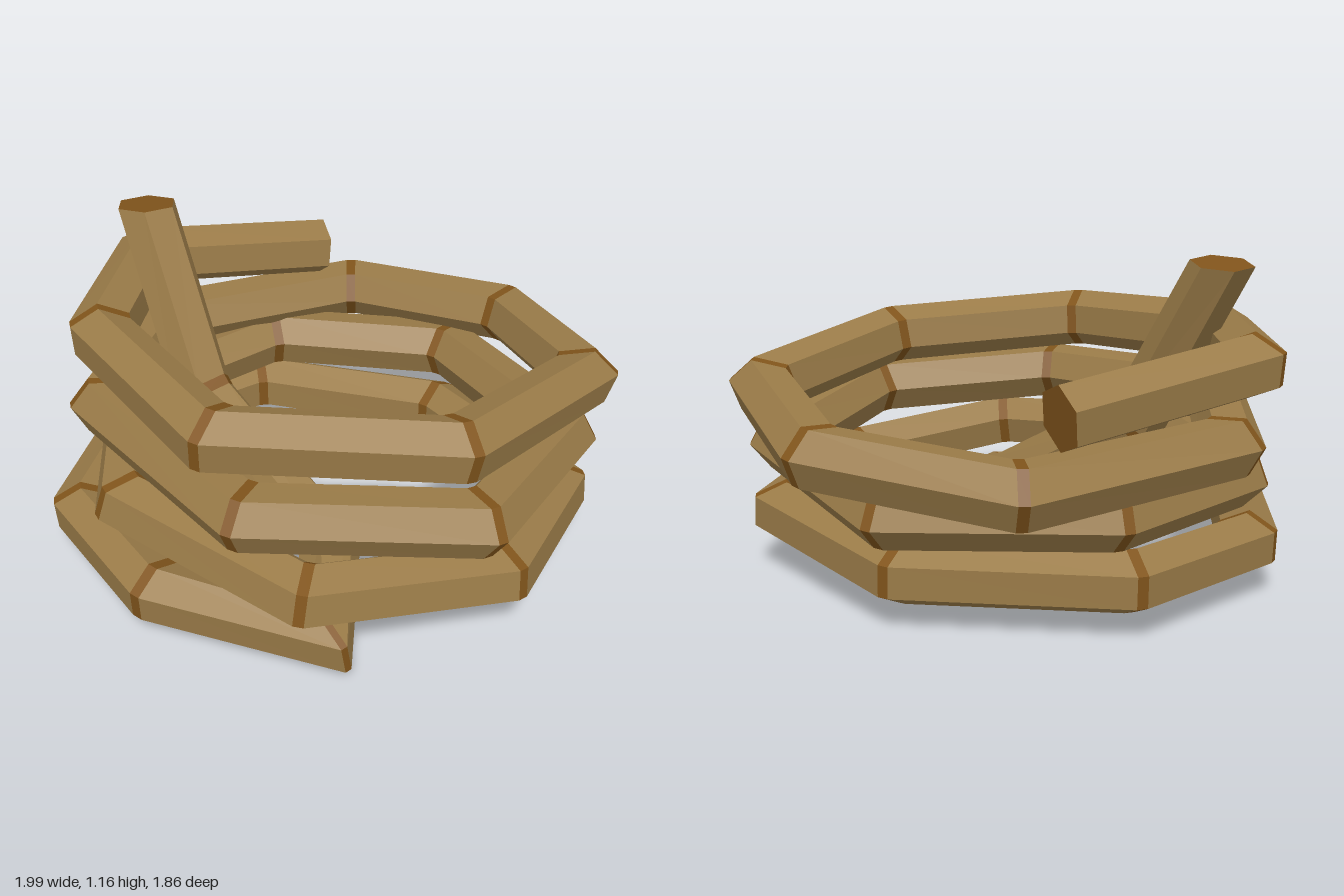
import * as THREE from 'three';

const SIDES = 6, RADIUS = 0.109, END_TWIST = -0.4, BAND = 0.02;

// Centre line of the rope, from the raised loose end, down and round the coils
const PATH = [
  // raised end and run to the ground
  [-0.59, 1.145, -0.4], [-0.43, 0.55, -0.06], [-0.03, 0.2, 0.41], [-0.08, 0.11, 0.78],
  // first coil
  [-0.64, 0.145, 0.51], [-0.895, 0.175, 0.08], [-0.71, 0.18, -0.44], [-0.19, 0.18, -0.69],
  [0.51, 0.18, -0.42], [0.83, 0.22, 0.22], [0.5, 0.28, 0.71],
  // second coil
  [-0.16, 0.35, 0.82], [-0.715, 0.39, 0.33], [-0.69, 0.395, -0.36], [-0.13, 0.4, -0.69],
  [0.56, 0.405, -0.5], [0.82, 0.475, 0.24], [0.4, 0.545, 0.77],
  // third coil
  [-0.34, 0.585, 0.7], [-0.78, 0.605, 0.05], [-0.57, 0.565, -0.57], [0.21, 0.535, -0.82],
  [0.77, 0.59, -0.43], [0.885, 0.685, 0.2], [0.34, 0.77, 0.68],
  // top coil and its end
  [-0.42, 0.82, 0.6], [-0.77, 0.845, -0.02], [-0.62, 0.84, -0.6], [0.08, 0.75, -0.78],
].map(p => new THREE.Vector3(...p));

const LAST = PATH.length - 1;

// Unit direction of each straight piece
const DIRS = PATH.slice(1).map((p, i) => p.clone().sub(PATH[i]).normalize());

// Hexagonal section at every node, its corners carried along without twisting
function ropeSections() {
  const tangents = PATH.map((_, i) =>
    DIRS[Math.max(i - 1, 0)].clone().add(DIRS[Math.min(i, LAST - 1)]).normalize());
  tangents[0].set(0, -1, 0.15).normalize(); // raised end is cut almost level

  const reference = new THREE.Vector3(0, 1, 0).cross(tangents[LAST]).negate().normalize()
    .applyAxisAngle(tangents[LAST], -END_TWIST);
  const turn = new THREE.Quaternion();
  const rings = [];
  for (let i = LAST; i >= 0; i--) {
    if (i < LAST) reference.applyQuaternion(turn.setFromUnitVectors(tangents[i + 1], tangents[i]));
    const across = reference.clone().cross(tangents[i]);
    const atBend = i > 0 && i < LAST;
    // widen the section in the plane of the bend
    const bend = atBend ? DIRS[i].clone().sub(DIRS[i - 1]).normalize() : new THREE.Vector3();
    const mitre = atBend ? Math.min(1 / tangents[i].dot(DIRS[i]), 1.25) : 1;
    rings[i] = Array.from({ length: SIDES }, (_, k) => {
      const a = k / SIDES * Math.PI * 2;
      const offset = reference.clone().multiplyScalar(Math.cos(a) * RADIUS)
        .addScaledVector(across, Math.sin(a) * RADIUS);
      offset.addScaledVector(bend, offset.dot(bend) * (mitre - 1));
      return offset.add(PATH[i]);
    });
  }
  return rings;
}

const shifted = (ring, dir, d) => ring.map(p => p.clone().addScaledVector(dir, d));

function meshFrom(points, material, name) {
  const geometry = new THREE.BufferGeometry().setFromPoints(points);
  geometry.computeVertexNormals();
  const mesh = new THREE.Mesh(geometry, material);
  mesh.name = name;
  return mesh;
}

// Faceted sleeve between two sections
function sleeve(a, b, material, name) {
  const points = [];
  for (let k = 0; k < SIDES; k++) {
    const n = (k + 1) % SIDES;
    points.push(a[k], b[k], a[n], a[n], b[k], b[n]);
  }
  return meshFrom(points, material, name);
}

// Flat cut face on a loose end
function cutFace(ring, material, name) {
  const points = [];
  for (let k = 1; k < SIDES - 1; k++) points.push(ring[0], ring[k], ring[k + 1]);
  return meshFrom(points, material, name);
}

export function createModel() {
  const group = new THREE.Group();
  group.name = 'ropeCoil';
  const rope = new THREE.MeshStandardMaterial({ color: 0x9a7b48, flatShading: true });
  const cut = new THREE.MeshStandardMaterial({ color: 0x80541b, flatShading: true });
  const rings = ropeSections();

  for (let i = 0; i < LAST; i++) {
    // straight rope piece, shortened where it meets a joint
    const start = shifted(rings[i], DIRS[i], i === 0 ? 0 : BAND);
    const end = shifted(rings[i + 1], DIRS[i], i === LAST - 1 ? 0 : -BAND);
    group.add(sleeve(start, end, rope, `ropeSegment${i + 1}`));
    // darker band at the bend
    if (i > 0) {
      const from = shifted(rings[i], DIRS[i - 1], -BAND);
      group.add(sleeve(from, start, cut, `ropeJoint${i}`));
    }
  }

  // loose ends
  group.add(cutFace(rings[0], cut, 'raisedEnd'));
  group.add(cutFace([...rings[LAST]].reverse(), cut, 'coilEnd'));
  return group;
}
